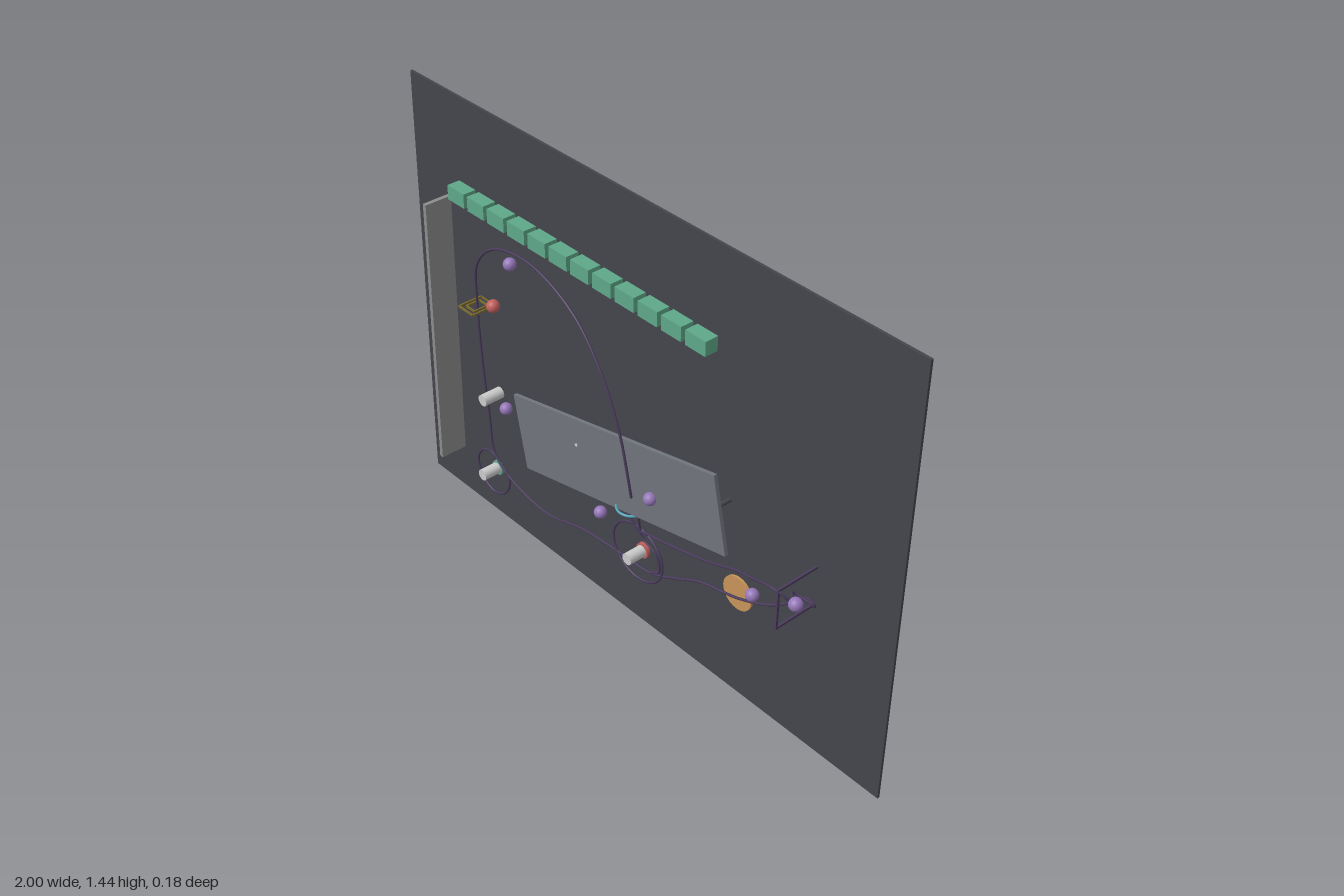
import * as THREE from 'three';

const mat = (color) => new THREE.MeshStandardMaterial({ color });
const grey = mat(0xcccccc), dark = mat(0x45464c), purple = mat(0x9577b8), rail = mat(0x4a3c5c);
const green = mat(0x5fa88a), red = mat(0xc0605c), olive = mat(0x7d6c2c), cyan = mat(0x4fa3b8);
const orange = mat(0xc8955a), plateGrey = mat(0x70747c), wallGrey = mat(0x8c8c8c);
const BACK = -0.083; // front face of the backboard

export function createModel() {
  const model = new THREE.Group();

  const add = (name, geometry, material, x = 0, y = 0, z = 0) => {
    const mesh = new THREE.Mesh(geometry, material);
    mesh.name = name;
    mesh.position.set(x, y, z);
    model.add(mesh);
    return mesh;
  };
  const box = (name, m, w, h, d, x, y, z) => add(name, new THREE.BoxGeometry(w, h, d), m, x, y, z);
  // cylinder whose axis runs from z0 to z1
  const rod = (name, m, r, x, y, z0, z1) => {
    const g = new THREE.CylinderGeometry(r, r, z1 - z0, 24).rotateX(Math.PI / 2);
    return add(name, g, m, x, y, (z0 + z1) / 2);
  };
  const wire = (name, m, points, r = 0.004, closed = false) => {
    const curve = new THREE.CatmullRomCurve3(points.map((p) => new THREE.Vector3(...p)), closed);
    return add(name, new THREE.TubeGeometry(curve, points.length * 12, r, 8, closed), m);
  };

  // Backboard and side wall
  box('backboard', dark, 2, 1.44, 0.008, 0, 0.72, -0.087);
  box('sideWall', wallGrey, 0.014, 0.93, 0.094, -0.84, 0.63, -0.037);

  // Row of blocks along the top
  for (let i = 0; i < 12; i++) {
    box('block', green, 0.077, 0.047, 0.045, -0.747 + i * 0.0931, 1.142, -0.0615);
  }

  // Tilted plate on standoffs
  const tilt = 0.222;
  box('tiltedPlate', plateGrey, 0.88, 0.25, 0.012, 0, 0.583, -0.008).rotation.z = tilt;
  for (const s of [-0.395, -0.24, 0.24, 0.395]) {
    rod('standoff', dark, 0.007, s * Math.cos(tilt), 0.583 + s * Math.sin(tilt), BACK, -0.012);
  }
  rod('plateStud', grey, 0.005, -0.165, 0.585, -0.004, 0.001);

  // Track: high arch, fall, and loop round the lower left spindle
  wire('archTrack', rail, [
    [0.09, 0.55, 0.012], [0.085, 0.62, 0.02], [0.05, 0.76, 0.022], [-0.03, 0.92, 0.02],
    [-0.16, 1.04, 0.008], [-0.37, 1.095, -0.012], [-0.55, 1.06, -0.022], [-0.65, 0.96, -0.032],
    [-0.672, 0.82, -0.042], [-0.668, 0.6, -0.048], [-0.655, 0.4, -0.055], [-0.64, 0.26, -0.058],
    [-0.57, 0.2, -0.058], [-0.59, 0.13, -0.058], [-0.65, 0.1, -0.058], [-0.71, 0.13, -0.058],
    [-0.73, 0.19, -0.058], [-0.7, 0.24, -0.058], [-0.65, 0.255, -0.058], [-0.59, 0.215, -0.058],
    [-0.48, 0.18, -0.058], [-0.37, 0.172, -0.058], [-0.2, 0.215, -0.058], [-0.06, 0.228, -0.058],
    [0.1, 0.238, -0.058], [0.2, 0.28, -0.062], [0.3, 0.33, -0.065], [0.45, 0.365, -0.07],
    [0.56, 0.41, -0.078], [0.65, 0.48, -0.082], [0.69, 0.52, -0.08],
    [0.742, 0.54, -0.055], [0.69, 0.572, -0.025], [0.742, 0.6, 0.03], [0.715, 0.64, 0.06],
    [0.68, 0.638, 0.062], [0.6, 0.59, 0.03], [0.5, 0.54, 0], [0.38, 0.48, -0.02],
    [0.22, 0.43, -0.03], [0.08, 0.39, -0.04], [0.06, 0.37, -0.05],
  ]);

  // Loop round the middle spindle
  const ring = [];
  for (let i = 0; i < 16; i++) {
    const a = (i / 16) * Math.PI * 2;
    ring.push([0.042 + 0.108 * Math.cos(a), 0.282 + 0.097 * Math.sin(a), -0.058]);
  }
  wire('middleLoop', rail, ring, 0.004, true);
  wire('loopFeed', rail, [
    [0.075, 0.455, -0.03], [0.07, 0.4, -0.04], [0.08, 0.365, -0.045], [0.13, 0.33, -0.05],
    [0.14, 0.27, -0.055], [0.1, 0.24, -0.058],
  ]);
  wire('funnelFeed', rail, [[0.005, 0.455, -0.03], [0.03, 0.42, -0.035], [0.07, 0.37, -0.045]]);

  // Catch ring above the middle loop
  add('catchRing', new THREE.TorusGeometry(0.046, 0.004, 8, 32).rotateX(Math.PI / 2),
    cyan, 0.045, 0.468, -0.032);

  // Square gate round the falling track
  for (const [half, name] of [[0.034, 'gateOuter'], [0.02, 'gateInner']]) {
    for (const s of [-1, 1]) {
      box(name, olive, 0.005, 0.006, half * 2.5, -0.67 + s * half, 0.803, -0.04);
      box(name, olive, half * 2, 0.006, 0.005, -0.67, 0.803, -0.04 + s * half * 1.25);
    }
  }

  // Guide frame at the right turn
  box('guideUpright', rail, 0.007, 0.135, 0.007, 0.715, 0.578, 0.06);
  for (const y of [0.514, 0.643]) box('guideArm', rail, 0.007, 0.007, 0.146, 0.715, y, -0.01);

  // Spindles with coloured bases
  rod('spindle', grey, 0.019, -0.63, 0.488, BACK, -0.012);
  rod('spindle', grey, 0.019, -0.65, 0.187, BACK, -0.012);
  rod('spindle', grey, 0.019, 0.045, 0.28, BACK, -0.012);
  rod('greenBase', green, 0.025, -0.65, 0.187, BACK, -0.072);
  rod('redBase', red, 0.025, 0.045, 0.28, BACK, -0.072);

  // Flat disc on the board
  rod('disc', orange, 0.056, 0.438, 0.372, BACK, -0.076);

  // Balls
  const balls = [
    [-0.468, 1.05, -0.015], [-0.547, 0.49, -0.04], [-0.107, 0.35, -0.042],
    [0.16, 0.583, 0.004], [0.508, 0.42, -0.063], [0.787, 0.65, 0.07],
  ];
  for (const p of balls) add('ball', new THREE.SphereGeometry(0.02, 24, 16), purple, ...p);
  add('redBall', new THREE.SphereGeometry(0.021, 24, 16), red, -0.59, 0.84, -0.04);

  return model;
}
